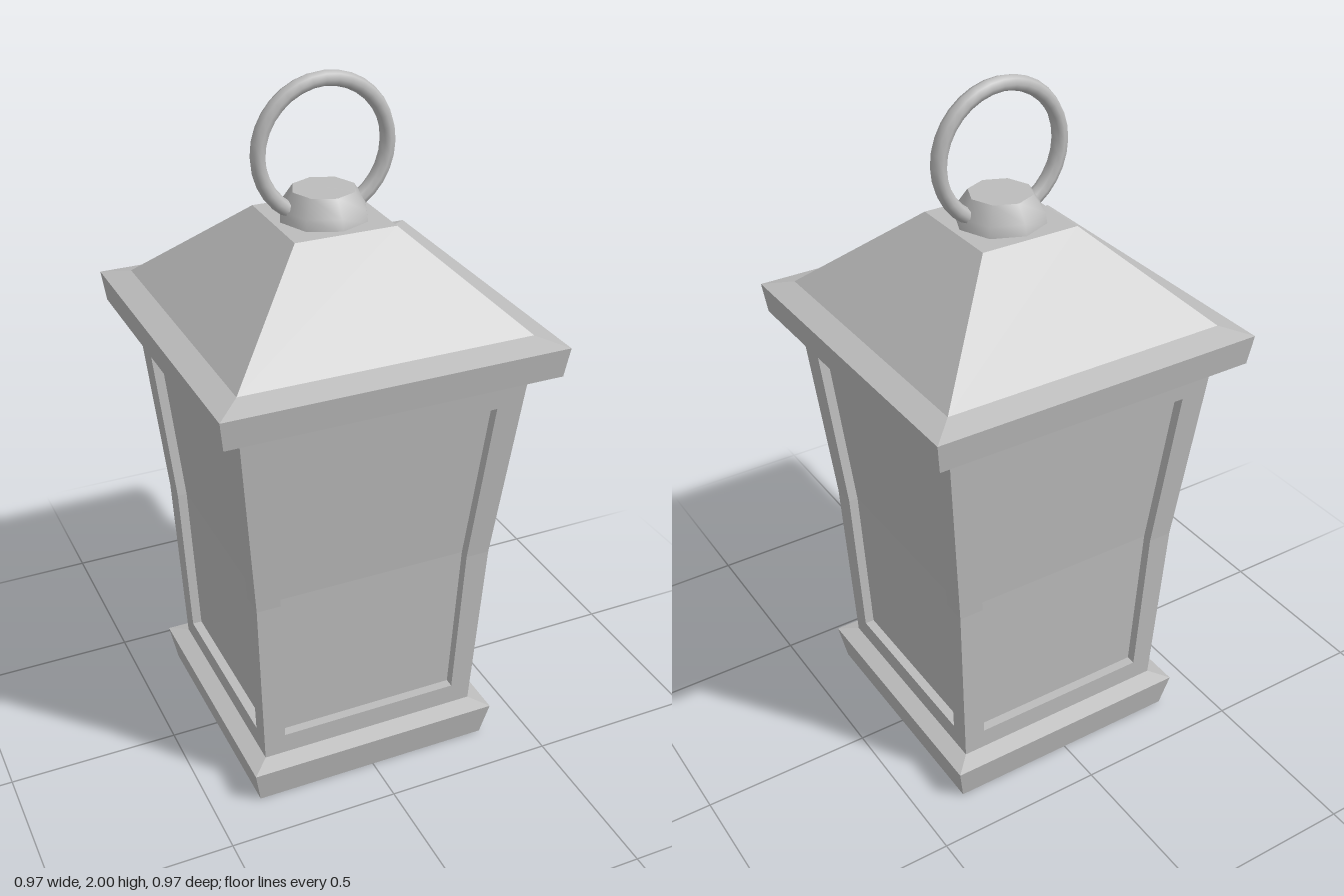
import * as THREE from 'three';

// Flat-shaded geometry from a list of four-cornered faces (counter-clockwise from outside)
function quadGeometry(quads) {
  const pos = [];
  for (const [a, b, c, d] of quads) pos.push(...a, ...b, ...c, ...a, ...c, ...d);
  const g = new THREE.BufferGeometry();
  g.setAttribute('position', new THREE.Float32BufferAttribute(pos, 3));
  g.computeVertexNormals();
  return g;
}

// Stack of square sections [halfWidth, y], closed at both ends
function squareLoft(profile) {
  const ring = ([w, y]) => [[-w, y, w], [w, y, w], [w, y, -w], [-w, y, -w]];
  const quads = [];
  for (let i = 0; i < profile.length - 1; i++) {
    const lo = ring(profile[i]), hi = ring(profile[i + 1]);
    for (let k = 0; k < 4; k++) {
      const n = (k + 1) % 4;
      quads.push([lo[k], lo[n], hi[n], hi[k]]);
    }
  }
  quads.push(ring(profile[0]).reverse(), ring(profile[profile.length - 1]));
  return quadGeometry(quads);
}

export function createModel() {
  const model = new THREE.Group();
  model.name = 'lantern';
  const metal = new THREE.MeshStandardMaterial({ color: 0xbcbcbc });
  metal.name = 'grey metal';
  const add = (name, geometry, parent = model) => {
    const mesh = new THREE.Mesh(geometry, metal);
    mesh.name = name;
    parent.add(mesh);
    return mesh;
  };

  // Flared foot and hipped roof with a slanted eave
  add('base', squareLoft([[0.36, 0], [0.38, 0.105], [0.33, 0.12]]));
  add('roof', squareLoft([[0.41, 1.235], [0.475, 1.255], [0.486, 1.34], [0.415, 1.36], [0.145, 1.61]]));

  // One wall: rows of [y, wall half width, opening half width]
  const rows = [[0.185, 0.333, 0.27], [0.66, 0.355, 0.285], [1.155, 0.403, 0.325]];
  const bottom = [0.12, 0.33], top = [1.237, 0.411], depth = 0.028;
  const frame = [], panel = [];
  const at = (x, [y, w], inset = 0) => [x, y, w - inset];
  for (let i = 0; i < 2; i++) {
    const a = rows[i], b = rows[i + 1];
    // Side posts
    frame.push([at(-a[1], a), at(-a[2], a), at(-b[2], b), at(-b[1], b)]);
    frame.push([at(a[2], a), at(a[1], a), at(b[1], b), at(b[2], b)]);
    // Inner edges of the posts
    frame.push([at(-a[2], a), at(-a[2], a, depth), at(-b[2], b, depth), at(-b[2], b)]);
    frame.push([at(a[2], a, depth), at(a[2], a), at(b[2], b), at(b[2], b, depth)]);
    // Sunken pane
    panel.push([at(-a[2], a, depth), at(a[2], a, depth), at(b[2], b, depth), at(-b[2], b, depth)]);
  }
  const s = rows[0], h = rows[2];
  // Bottom and top rails with their inner edges
  frame.push([at(-bottom[1], bottom), at(bottom[1], bottom), at(s[1], s), at(-s[1], s)]);
  frame.push([at(-h[1], h), at(h[1], h), at(top[1], top), at(-top[1], top)]);
  frame.push([at(-s[2], s), at(s[2], s), at(s[2], s, depth), at(-s[2], s, depth)]);
  frame.push([at(-h[2], h, depth), at(h[2], h, depth), at(h[2], h), at(-h[2], h)]);

  const frameGeometry = quadGeometry(frame), panelGeometry = quadGeometry(panel);
  ['front', 'left', 'back', 'right'].forEach((side, k) => {
    const wall = new THREE.Group();
    wall.name = side + 'Wall';
    wall.rotation.y = k * Math.PI / 2;
    add(side + 'Frame', frameGeometry, wall);
    add(side + 'Pane', panelGeometry, wall);
    model.add(wall);
  });

  // Eight-sided cap; the doubled point keeps its top edge sharp
  const capProfile = [[0.126, 1.605], [0.12, 1.64], [0.088, 1.687], [0.088, 1.687], [0, 1.688]];
  add('cap', new THREE.LatheGeometry(capProfile.map(([r, y]) => new THREE.Vector2(r, y)), 8));

  // Carrying ring
  const ring = add('ring', new THREE.TorusGeometry(0.184, 0.021, 8, 32));
  ring.position.y = 1.795;
  ring.scale.z = 1.15;

  return model;
}
